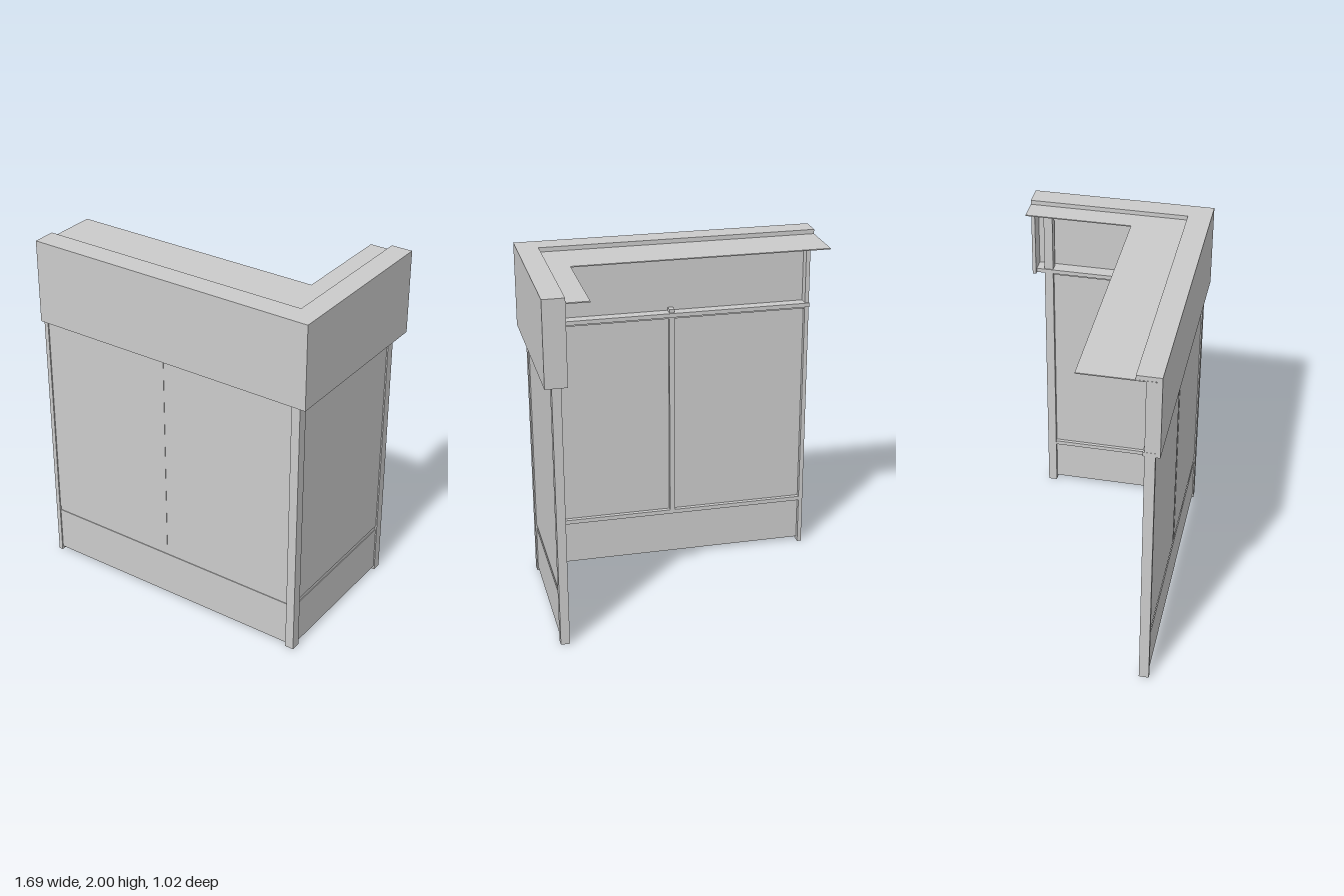
import * as THREE from 'three';

const material = new THREE.MeshStandardMaterial({ color: 0xcccccc, flatShading: true });

export function createModel() {
  const model = new THREE.Group();

  // Box given by its limits on each axis
  function box(name, [x0, x1], [y0, y1], [z0, z1]) {
    const mesh = new THREE.Mesh(new THREE.BoxGeometry(x1 - x0, y1 - y0, z1 - z0), material);
    mesh.position.set((x0 + x1) / 2, (y0 + y1) / 2, (z0 + z1) / 2);
    mesh.name = name;
    model.add(mesh);
  }

  // L-shaped slab following both wings, from inner corner (xi, zi) to outer corner (xo, zo)
  function slab(name, xi, zi, xo, zo, y0, y1) {
    const points = [[-0.845, zo], [xo, zo], [xo, -0.51], [xi, -0.51], [xi, zi], [-0.845, zi]];
    const shape = new THREE.Shape(points.map(([x, z]) => new THREE.Vector2(x, -z)));
    const geometry = new THREE.ExtrudeGeometry(shape, { depth: y1 - y0, bevelEnabled: false });
    geometry.rotateX(-Math.PI / 2);
    const mesh = new THREE.Mesh(geometry, material);
    mesh.position.y = y0;
    mesh.name = name;
    model.add(mesh);
  }

  // Posts
  const postHeight = [0, 1.97];
  box('leftPost', [-0.844, -0.82], postHeight, [0.43, 0.485]);
  box('cornerPost', [0.75, 0.8], postHeight, [0.43, 0.485]);
  box('rearPost', [0.75, 0.8], postHeight, [-0.445, -0.395]);

  // Panels of the front wing
  const tall = [0.305, 1.525], low = [0.02, 0.28];
  box('frontPanelLeft', [-0.015, 0.75], tall, [0.458, 0.478]);
  box('frontPanelRight', [-0.82, -0.045], tall, [0.458, 0.478]);
  box('frontKickPanel', [-0.82, 0.75], low, [0.458, 0.478]);
  box('frontMullion', [-0.045, -0.015], [0.305, 1.57], [0.433, 0.476]);

  // Panels of the side wing
  box('sidePanel', [0.773, 0.793], tall, [-0.395, 0.43]);
  box('sideKickPanel', [0.773, 0.793], low, [-0.395, 0.43]);

  // Horizontal rails of both wings
  for (const [name, y] of [['lowerRail', [0.28, 0.305]], ['upperRail', [1.515, 1.54]]]) {
    box(name + 'Front', [-0.82, 0.75], y, [0.433, 0.474]);
    box(name + 'Side', [0.753, 0.789], y, [-0.395, 0.43]);
  }

  // Fascia: outer wall, bottom lip, top board and end cap
  slab('fasciaWall', 0.82, 0.485, 0.845, 0.51, 1.525, 1.98);
  slab('fasciaLip', 0.745, 0.42, 0.843, 0.508, 1.526, 1.55);
  slab('fasciaTop', 0.725, 0.38, 0.845, 0.51, 1.975, 2);
  box('fasciaEndCap', [0.725, 0.844], [1.525, 1.99], [-0.51, -0.49]);

  // Thin counter ledge reaching inward just below the top board
  slab('counterLedge', 0.6, 0.085, 0.8, 0.478, 1.968, 1.974);

  return model;
}
